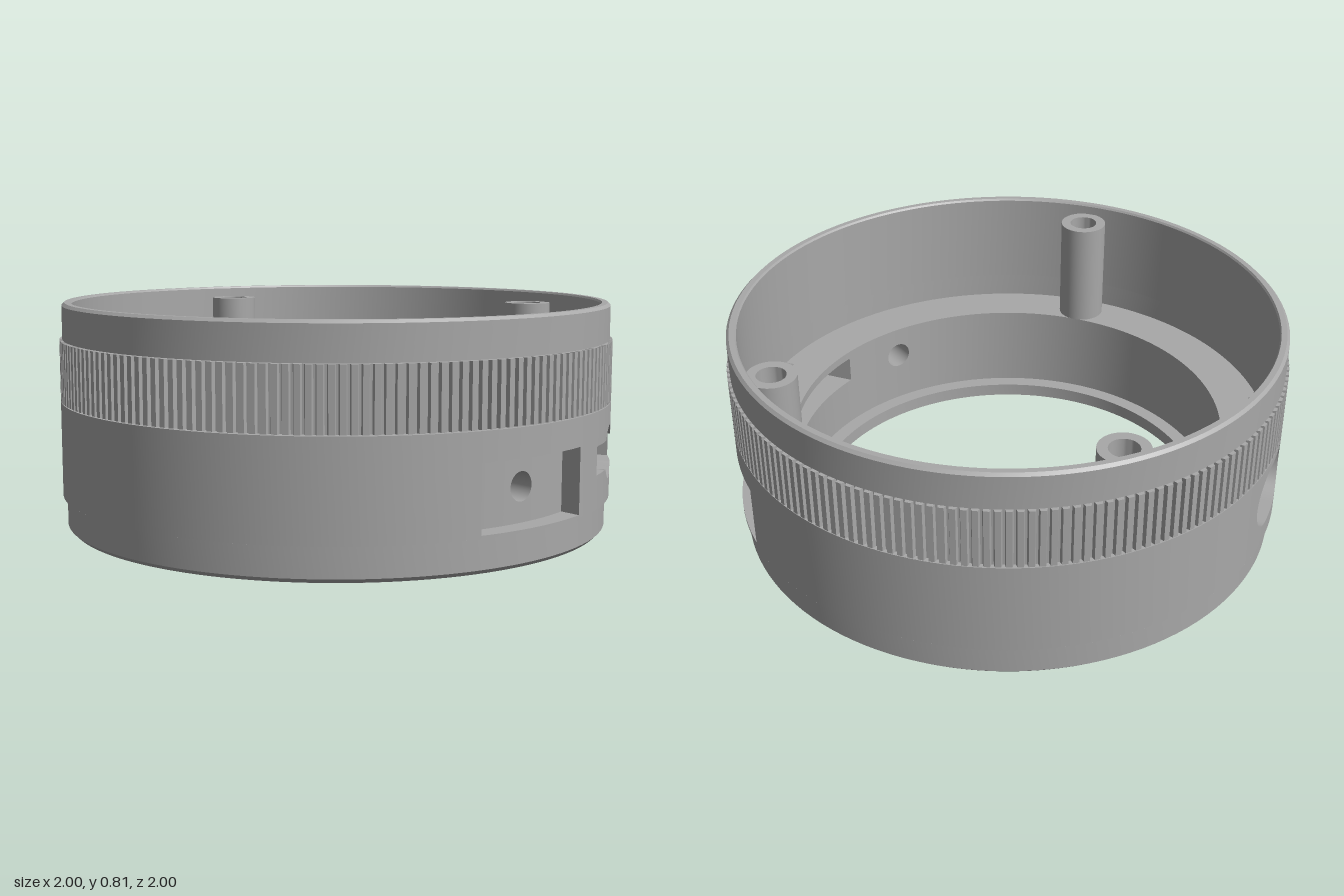
import * as THREE from 'three';
import { toCreasedNormals } from 'three/addons/utils/BufferGeometryUtils.js';
import { ParametricGeometry } from 'three/addons/geometries/ParametricGeometry.js';

const { PI, sqrt, sin, cos, asin, abs, max, min } = Math;
const OUT = 1, UP = 0.955, IN = 0.785;            // outer wall, upper bore, lower bore radii
const Y0 = 0.12, Y1 = 0.46, SHELF = 0.37, LIP = 0.05;
const POCKET = 0.595;                             // pocket angle from +x

export function createModel() {
  const model = new THREE.Group();
  const grey = new THREE.MeshStandardMaterial({ color: 0xa8a8a8, side: THREE.DoubleSide });
  grey.name = 'satin grey';

  const add = (name, geometry, parent = model) => {
    const mesh = new THREE.Mesh(geometry, grey);
    mesh.name = name;
    parent.add(mesh);
    return mesh;
  };
  const group = (name) => {
    const g = new THREE.Group();
    g.name = name;
    model.add(g);
    return g;
  };
  const lathe = (points, segments = 128, start = 0, length = 2 * PI) =>
    toCreasedNormals(new THREE.LatheGeometry(points.map(p => new THREE.Vector2(...p)), segments, start, length), 0.5);

  // Cylinder wall interrupted by openings given as [angle, half width], in ascending angle
  const wallWithGaps = (name, r, y0, y1, openings) => {
    const g = group(name);
    openings.forEach(([a, w], i) => {
      const [b, v] = openings[(i + 1) % openings.length];
      const from = a + asin(w / r);
      const to = b - asin(v / r) + (i + 1 === openings.length ? 2 * PI : 0);
      add('wallSection', lathe([[r, y0], [r, y1]], Math.ceil((to - from) * 22), PI / 2 - to, to - from), g);
    });
  };

  // Surface from f(u, v) = [sideways, y, radius], turned to face the given angle
  const panel = (g, name, angle, f, nu = 48, nv = 1) => {
    const geometry = new ParametricGeometry((u, v, target) => {
      const [s, y, r] = f(u, v);
      const d = sqrt(r * r - s * s);
      target.set(d * cos(angle) - s * sin(angle), y, d * sin(angle) + s * cos(angle));
    }, nu, nv);
    geometry.computeVertexNormals();
    add(name, geometry, g);
  };
  // Strip joining two edges, each giving [y, radius] for a sideways position
  const strip = (g, name, angle, w, a, b) => panel(g, name, angle, (u, v) => {
    const s = w * sin((u - 0.5) * PI);
    const [ya, ra] = a(s), [yb, rb] = b(s);
    return [s, ya + (yb - ya) * v, ra + (rb - ra) * v];
  });
  // Wall above and below an opening
  const around = (g, angle, w, r, y0, y1, lo, hi) => {
    strip(g, 'wallBelow', angle, w, () => [y0, r], s => [lo(s), r]);
    strip(g, 'wallAbove', angle, w, s => [hi(s), r], () => [y1, r]);
  };
  // Floor and ceiling of an opening between two radii
  const tunnel = (g, angle, w, lo, hi, ra, rb) => {
    for (const edge of [lo, hi])
      strip(g, 'openingWall', angle, w, s => [edge(s), ra], s => [edge(s), rb]);
  };
  // Upright end walls of an opening
  const ends = (g, angle, w, y0, y1, ra, rb) => {
    for (const s of [-w, w])
      panel(g, 'openingEnd', angle, (u, v) => [s, y0 + (y1 - y0) * u, ra + (rb - ra) * v], 1, 1);
  };

  // Main walls
  wallWithGaps('outerWall', OUT, Y0, Y1, [[-POCKET, 0.233], [0, 0.21], [POCKET, 0.233], [PI, 0.18]]);
  wallWithGaps('lowerBore', IN, LIP, SHELF, [[-POCKET, 0.05], [0, 0.21], [POCKET, 0.05], [PI, 0.18]]);
  wallWithGaps('upperBore', UP, SHELF, Y1, [[PI, 0.18]]);

  // Rim and base
  add('topRim', lathe([[UP, Y1], [UP, 0.803], [0.96, 0.81], [0.98, 0.81], [0.99, 0.8], [0.99, 0.68], [0.97, 0.68]]));
  add('baseRing', lathe([[IN, LIP], [0.73, LIP], [0.73, 0], [0.748, 0], [0.748, 0.012],
    [0.97, 0.012], [0.97, 0], [0.985, 0.015], [0.985, Y0], [OUT, Y0]]));
  add('wallShoulder', lathe([[OUT, Y1], [0.965, Y1]]));

  // Inner shelf, cut where the round-ended slot passes through
  const shelf = new THREE.Shape();
  const ao = PI - asin(0.168 / UP), ai = PI - asin(0.168 / IN);
  shelf.absarc(0, 0, UP, -ao, ao, false);
  shelf.absarc(0, 0, IN, ai, -ai, true);
  add('shelf', new THREE.ShapeGeometry(shelf, 96).rotateX(-PI / 2).translate(0, SHELF, 0));

  // Knurled grip band
  const teeth = 180, grip = new THREE.Shape();
  for (let i = 0; i < teeth; i++) {
    [[0, 0.985], [0.12, 1], [0.68, 1], [0.8, 0.985]].forEach(([t, r], k) => {
      const a = (i + t) / teeth * 2 * PI;
      grip[i + k ? 'lineTo' : 'moveTo'](r * cos(a), r * sin(a));
    });
  }
  grip.closePath();
  grip.holes.push(new THREE.Path().absarc(0, 0, 0.965, 0, 2 * PI, true));
  add('knurledGrip', new THREE.ExtrudeGeometry(grip, { depth: 0.215, bevelEnabled: false, curveSegments: 64 })
    .rotateX(-PI / 2).translate(0, 0.463, 0));

  // Underside dial with sunken tick marks
  const dial = new THREE.Shape().absarc(0, 0, 0.97, 0, 2 * PI, false);
  dial.holes.push(new THREE.Path().absarc(0, 0, 0.805, 0, 2 * PI, true));
  for (let i = 0; i < 72; i++) {
    const a = i / 72 * 2 * PI, r0 = i % 6 ? 0.875 : 0.85, w = i % 6 ? 0.006 : 0.01;
    const corners = [[r0, -w], [r0, w], [0.93, w], [0.93, -w]];
    dial.holes.push(new THREE.Path(corners.map(([r, s]) =>
      new THREE.Vector2(r * cos(a) - s * sin(a), r * sin(a) + s * cos(a)))));
  }
  add('dialRing', new THREE.ExtrudeGeometry(dial, { depth: 0.012, bevelEnabled: false, curveSegments: 128 })
    .rotateX(-PI / 2));

  // Round-ended slot, opening above and below the shelf
  const slot = group('roundedSlot');
  const slotH = s => sqrt(max(0, 0.0144 - max(0, abs(s) - 0.06) ** 2));
  const slotLo = s => 0.31 - slotH(s), slotHi = s => 0.31 + slotH(s);
  around(slot, PI, 0.18, OUT, Y0, Y1, slotLo, slotHi);
  around(slot, PI, 0.18, IN, LIP, SHELF, slotLo, s => min(slotHi(s), SHELF));
  strip(slot, 'wallAbove', PI, 0.18, s => [max(slotHi(s), SHELF), UP], () => [Y1, UP]);
  strip(slot, 'slotFloor', PI, 0.18, s => [slotLo(s), OUT], s => [slotLo(s), IN]);
  strip(slot, 'slotCeiling', PI, 0.18, s => [slotHi(s), OUT], s => [slotHi(s), slotHi(s) > SHELF ? UP : IN]);

  // Straight slit with a shallow round recess across its middle
  const slit = group('slit');
  const lo = () => 0.24, hi = () => 0.34, deep = 0.92;
  const recess = s => max(0.05, sqrt(max(0, 0.095 ** 2 - s * s)));
  const recessLo = s => 0.29 - recess(s), recessHi = s => 0.29 + recess(s);
  around(slit, 0, 0.21, OUT, Y0, Y1, recessLo, recessHi);
  around(slit, 0, 0.21, IN, LIP, SHELF, lo, hi);
  tunnel(slit, 0, 0.21, recessLo, recessHi, OUT, deep);
  around(slit, 0, 0.081, deep, 0.24, 0.34, recessLo, recessHi);
  strip(slit, 'recessFloor', 0, 0.081, s => [recessLo(s), deep], () => [0.24, deep]);
  tunnel(slit, 0, 0.21, lo, hi, deep, IN);
  ends(slit, 0, 0.21, 0.24, 0.34, OUT, IN);

  // Mirrored pockets, each with a round hole through its floor
  for (const a of [-POCKET, POCKET]) {
    const g = group('pocket'), w = 0.233, floor = 0.925, y0 = 0.13, y1 = 0.36;
    const holeH = s => sqrt(max(0, 0.0025 - s * s));
    const holeLo = s => 0.25 - holeH(s), holeHi = s => 0.25 + holeH(s);
    around(g, a, w, OUT, Y0, Y1, () => y0, () => y1);
    tunnel(g, a, w, () => y0, () => y1, OUT, floor);
    ends(g, a, w, y0, y1, OUT, floor);
    for (const side of [-1, 1])
      panel(g, 'pocketFloor', a, (u, v) => [side * (0.05 + (w - 0.05) * u), y0 + (y1 - y0) * v, floor], 12);
    around(g, a, 0.05, floor, y0, y1, holeLo, holeHi);
    tunnel(g, a, 0.05, holeLo, holeHi, floor, IN);
    around(g, a, 0.05, IN, LIP, SHELF, holeLo, holeHi);
  }

  // Screw posts standing on the shelf
  for (const [x, z] of [[0, 0.87], [0.617, -0.617], [-0.617, -0.617]]) {
    add('screwPost', lathe([[0.088, SHELF], [0.088, 0.77], [0.052, 0.77], [0.052, 0.45], [0, 0.45]], 40))
      .position.set(x, 0, z);
  }
  return model;
}
